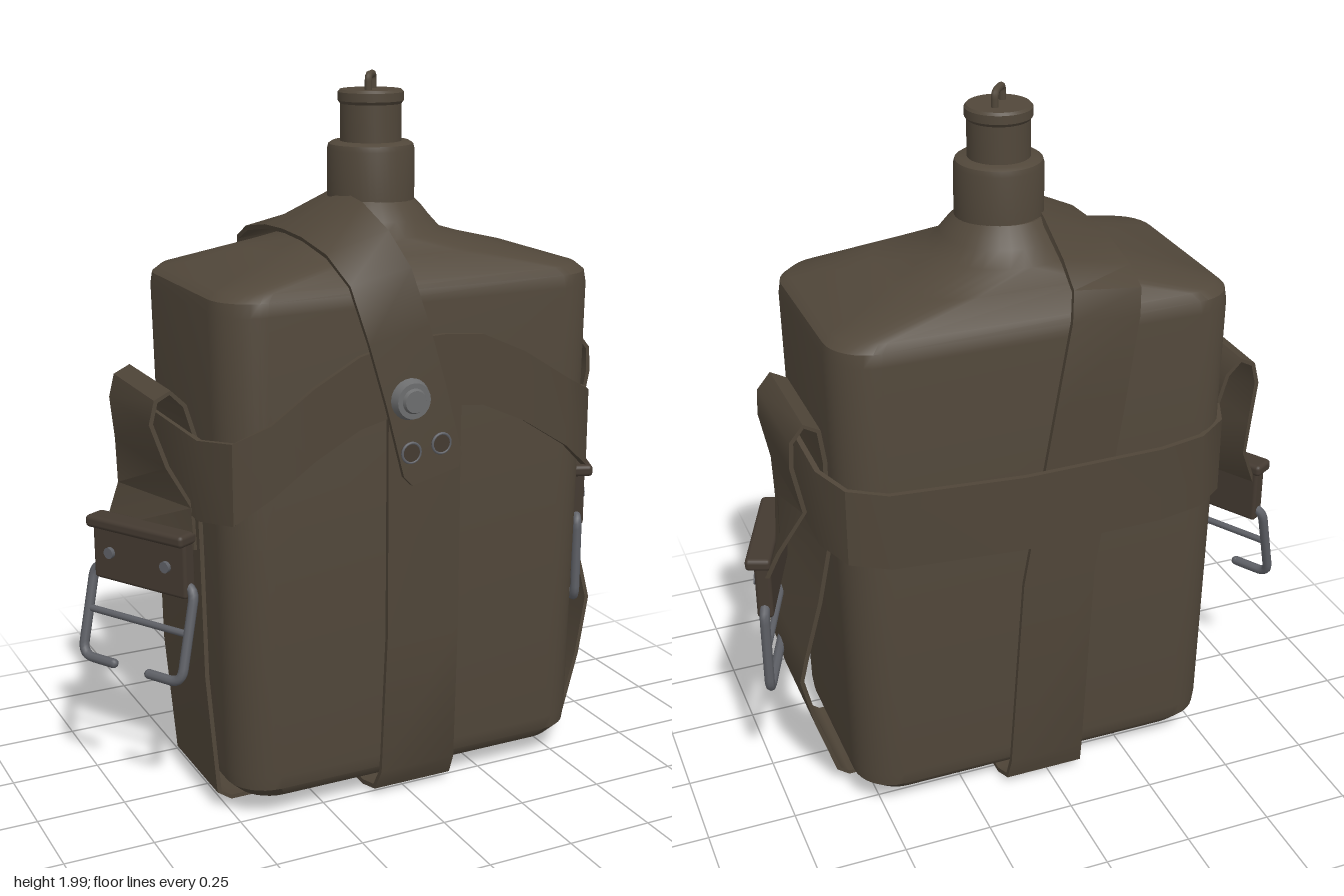
import * as THREE from 'three';
import { mergeGeometries, toCreasedNormals } from 'three/addons/utils/BufferGeometryUtils.js';
import { RoundedBoxGeometry } from 'three/addons/geometries/RoundedBoxGeometry.js';

const V = (x, y, z) => new THREE.Vector3(x, y, z);

const material = (name, color) => {
  const m = new THREE.MeshStandardMaterial({ color });
  m.name = name;
  return m;
};

function mesh(parent, name, geometry, mat, x = 0, y = 0, z = 0) {
  const m = new THREE.Mesh(geometry, mat);
  m.name = name;
  m.position.set(x, y, z);
  parent.add(m);
  return m;
}

// Skin over rings of points (counter-clockwise around the travel direction).
function loft(rings, crease, closed = false) {
  const n = rings[0].length, pos = [], index = [];
  rings.flat().forEach(p => pos.push(p.x, p.y, p.z));
  const spans = closed ? rings.length : rings.length - 1;
  for (let i = 0; i < spans; i++) {
    const k = ((i + 1) % rings.length) * n;
    for (let j = 0; j < n; j++) {
      const a = i * n + j, b = i * n + (j + 1) % n;
      const c = k + (j + 1) % n, d = k + j;
      index.push(a, b, c, a, c, d);
    }
  }
  if (!closed) {
    const e = (rings.length - 1) * n;
    for (let j = 1; j < n - 1; j++) index.push(0, j + 1, j, e, e + j, e + j + 1);
  }
  const g = new THREE.BufferGeometry();
  g.setAttribute('position', new THREE.Float32BufferAttribute(pos, 3));
  g.setIndex(index);
  return toCreasedNormals(g, crease);
}

// Horizontal rounded rectangle.
function section(y, hx, hz, r, cx, cz) {
  const ring = [], steps = 8;
  [[1, -1], [-1, -1], [-1, 1], [1, 1]].forEach(([sx, sz], q) => {
    for (let i = 0; i <= steps; i++) {
      const a = (q + i / steps) * Math.PI / 2;
      ring.push(V(cx + sx * (hx - r) + r * Math.cos(a), y, cz + sz * (hz - r) - r * Math.sin(a)));
    }
  });
  return ring;
}

// Flat band along centre points; sides[i] spans its width at each point.
function band(points, sides, thickness, closed = false) {
  const last = points.length - 1;
  const rings = points.map((p, i) => {
    const before = points[i > 0 ? i - 1 : closed ? last : 0];
    const after = points[i < last ? i + 1 : closed ? 0 : last];
    const s = sides[i].clone().multiplyScalar(0.5);
    const n = after.clone().sub(before).cross(s).setLength(thickness / 2);
    return [[1, 1], [-1, 1], [-1, -1], [1, -1]].map(([a, b]) =>
      p.clone().addScaledVector(s, a).addScaledVector(n, b));
  });
  return loft(rings, 0.7, closed);
}

// Round wire with bent corners.
function wire(points, radius, bend, closed = false) {
  const path = new THREE.CurvePath(), n = points.length;
  const toward = (a, b) => a.clone().add(b.clone().sub(a).setLength(bend));
  let from = closed ? toward(points[0], points[1]) : points[0];
  for (let i = 1; i < (closed ? n + 1 : n - 1); i++) {
    const p = points[i % n], start = toward(p, points[i - 1]), end = toward(p, points[(i + 1) % n]);
    path.add(new THREE.LineCurve3(from, start));
    path.add(new THREE.QuadraticBezierCurve3(start, p, end));
    from = end;
  }
  if (!closed) path.add(new THREE.LineCurve3(from, points[n - 1]));
  const parts = [new THREE.TubeGeometry(path, 90, radius, 8, closed)];
  if (!closed) for (const p of [points[0], points[n - 1]])
    parts.push(new THREE.SphereGeometry(radius, 8, 6).translate(p.x, p.y, p.z));
  return mergeGeometries(parts);
}

export function createModel() {
  const model = new THREE.Group();
  model.name = 'strappedFlask';
  const olive = material('olive brown', 0x51473a);
  const webbing = material('webbing brown', 0x4f4538);
  const clampBrown = material('dark clamp brown', 0x443a31);
  const steel = material('steel grey', 0x5e6066);
  const snapGrey = material('snap grey', 0x6c6d6e);

  // Flask body with sloping shoulders: y, half x, half z, corner radius
  const profile = [
    [0.05, 0.46, 0.25, 0.08], [0.065, 0.5, 0.285, 0.1], [0.1, 0.535, 0.315, 0.115], [0.14, 0.54, 0.32, 0.12],
    [0.8, 0.552, 0.325, 0.12], [1.42, 0.562, 0.325, 0.12], [1.455, 0.558, 0.32, 0.12], [1.475, 0.535, 0.305, 0.115],
    [1.53, 0.33, 0.245, 0.17], [1.57, 0.2, 0.195, 0.19], [1.61, 0.165, 0.165, 0.165],
    [1.635, 0.145, 0.145, 0.145], [1.66, 0.12, 0.12, 0.12],
  ];
  mesh(model, 'flaskBody', loft(profile.map(([y, hx, hz, r]) =>
    section(y, hx, hz, r - 0.001, 0.028, -0.025)), 0.6), olive);

  // Neck collar, stopper and its wire loop
  const turned = pts => toCreasedNormals(
    new THREE.LatheGeometry(pts.map(([r, y]) => new THREE.Vector2(r, y)), 40), 0.6);
  mesh(model, 'neckCollar', turned([[0.12, 1.63], [0.12, 1.79], [0.116, 1.805], [0.105, 1.812], [0, 1.812]]),
    olive, 0.033, 0, -0.022);
  mesh(model, 'stopper', turned([[0.084, 1.81], [0.084, 1.912], [0.09, 1.92], [0.09, 1.943], [0.084, 1.95], [0, 1.95]]),
    olive, 0.033, 0, -0.022);
  const loop = mesh(model, 'stopperLoop', wire([V(-0.036, 1.93, 0), V(-0.036, 1.99, 0), V(0.036, 1.99, 0),
    V(0.036, 1.93, 0)], 0.01, 0.018), olive, 0.033, 0, -0.022);
  loop.rotation.y = 0.93;

  // Long strap: down the front, under, up the back, over the shoulder to the flap
  // Each row: centre x, y, z, width vector x, y
  const long = [
    [0.03, 1.22, 0.306, 0.22, 0], [0.03, 0.5, 0.306, 0.22, 0], [0.02, 0.09, 0.3, 0.23, 0], [0.02, 0.03, 0.27, 0.24, 0],
    [0.02, 0.012, 0.2, 0.24, 0], [0.02, 0.012, -0.28, 0.24, 0], [0.02, 0.035, -0.34, 0.23, 0],
    [0.02, 0.1, -0.357, 0.22, 0], [-0.01, 0.7, -0.36, 0.21, 0], [-0.09, 1.2, -0.36, 0.2, 0],
    [-0.13, 1.46, -0.36, 0.19, 0.01], [-0.14, 1.53, -0.34, 0.19, 0.02], [-0.14, 1.575, -0.27, 0.19, 0.04],
    [-0.145, 1.62, -0.12, 0.19, 0.08], [-0.15, 1.63, 0, 0.18, 0.09], [-0.15, 1.62, 0.12, 0.18, 0.08],
    [-0.14, 1.578, 0.25, 0.18, 0.05], [-0.11, 1.5, 0.32, 0.175, 0.035], [-0.065, 1.35, 0.338, 0.175, 0.04],
    [-0.02, 1.18, 0.352, 0.175, 0.042], [0.025, 0.99, 0.362, 0.175, 0.042], [0.032, 0.96, 0.363, 0.14, 0.034],
  ];
  mesh(model, 'longStrap', band(long.map(p => V(p[0], p[1], p[2])), long.map(p => V(p[3], p[4], 0)), 0.014), webbing);

  // Belt strap arched across the front
  const belt = [
    [0.08, 1.237, 0.319], [0.2, 1.225, 0.319], [0.33, 1.165, 0.319], [0.47, 1.075, 0.318], [0.56, 1.01, 0.283],
    [0.617, 0.99, 0.18], [0.617, 0.98, -0.22], [0.57, 0.965, -0.32], [0.47, 0.955, -0.365], [0.1, 0.945, -0.388],
    [-0.3, 0.945, -0.38], [-0.43, 0.95, -0.36], [-0.51, 0.96, -0.31], [-0.557, 0.97, -0.2], [-0.557, 0.97, 0.16],
    [-0.51, 0.985, 0.28], [-0.42, 1.045, 0.317], [-0.3, 1.13, 0.319], [-0.17, 1.2, 0.319], [-0.04, 1.232, 0.319],
  ].map(p => V(...p));
  mesh(model, 'beltStrap', band(belt, belt.map(p => V(0, p.z > 0.3 ? 0.195 : 0.222, 0)), 0.015, true), webbing);

  // Side strap: buckle to buckle under the flask, looped around the belt on both sides
  // Each row: centre x, y, z, width vector x, z
  const side = [
    [0.705, 0.78, -0.045, -0.12, 0.3], [0.695, 0.86, -0.055, -0.08, 0.32], [0.66, 0.98, -0.065, 0, 0.33],
    [0.688, 1.12, -0.065, 0, 0.33], [0.684, 1.19, -0.065, 0, 0.33], [0.65, 1.232, -0.065, 0, 0.33],
    [0.61, 1.21, -0.065, 0, 0.33], [0.598, 1.12, -0.065, 0, 0.33], [0.597, 0.86, -0.06, 0, 0.33],
    [0.63, 0.68, -0.05, 0, 0.33], [0.675, 0.5, -0.04, 0, 0.33], [0.69, 0.42, -0.03, 0, 0.33],
    [0.65, 0.25, -0.01, 0, 0.32], [0.59, 0.06, 0, 0, 0.32], [0.56, 0.037, 0, 0, 0.32],
    [-0.49, 0.037, 0, 0, 0.32], [-0.525, 0.06, 0, 0, 0.32], [-0.543, 0.4, -0.03, 0, 0.33],
    [-0.537, 0.75, -0.06, 0, 0.33], [-0.54, 1.06, -0.07, 0, 0.33], [-0.57, 1.16, -0.07, 0, 0.33],
    [-0.61, 1.2, -0.07, 0, 0.33], [-0.65, 1.18, -0.07, 0, 0.33], [-0.665, 1.12, -0.07, 0, 0.33],
    [-0.64, 1.0, -0.065, 0.03, 0.33], [-0.61, 0.88, -0.05, 0.1, 0.31], [-0.635, 0.76, -0.035, 0.16, 0.28],
  ];
  mesh(model, 'sideStrap', band(side.map(p => V(p[0], p[1], p[2])), side.map(p => V(p[3], 0, p[4])), 0.012), webbing);

  // Snap button and flap rivets
  const disc = (name, r, depth, mat, x, y, z, sides = 24) =>
    mesh(model, name, new THREE.CylinderGeometry(r * 0.85, r, depth, sides).rotateX(Math.PI / 2), mat, x, y, z);
  disc('snapButton', 0.057, 0.024, snapGrey, -0.04, 1.178, 0.37);
  disc('snapCentre', 0.035, 0.01, snapGrey, -0.04, 1.178, 0.386);
  for (const [x, y] of [[-0.042, 1.035], [0.048, 1.05]]) {
    disc('flapRivet', 0.03, 0.01, clampBrown, x, y, 0.368);
    mesh(model, 'flapRivetRing', new THREE.TorusGeometry(0.027, 0.004, 6, 20), steel, x, y, 0.371);
  }

  // Side buckles: clamp plate with rivets and a wire frame
  function buckle(name, x, y, turn, tilt, open) {
    const group = new THREE.Group();
    group.name = name;
    group.position.set(x, y, -0.035);
    group.rotation.y = turn;
    model.add(group);
    mesh(group, 'clampPlate', new RoundedBoxGeometry(0.33, 0.17, 0.045, 2, 0.01), clampBrown);
    mesh(group, 'clampLip', new RoundedBoxGeometry(0.345, 0.035, 0.07, 2, 0.012), clampBrown, 0, 0.085, 0.01);
    for (const s of [-1, 1]) mesh(group, 'clampRivet',
      new THREE.CylinderGeometry(0.016, 0.016, 0.016, 14).rotateX(Math.PI / 2), steel, s * 0.1, 0.0, 0.026);
    const frame = new THREE.Group();
    frame.name = 'wireFrame';
    frame.position.y = -0.05;
    frame.rotation.x = tilt;
    group.add(frame);
    const w = 0.18, bottom = -0.265;
    const pts = open
      ? [V(0.065, bottom, 0), V(w, bottom, 0), V(w, 0, 0), V(-w, 0, 0), V(-w, bottom, 0), V(-0.065, bottom, 0)]
      : [V(w, bottom, 0), V(w, 0, 0), V(-w, 0, 0), V(-w, bottom, 0)];
    mesh(frame, 'frameWire', wire(pts, 0.014, 0.04, !open), steel);
    mesh(frame, 'crossBar', new THREE.CylinderGeometry(0.01, 0.01, 2 * w, 8).rotateZ(Math.PI / 2), steel, 0, -0.13, 0);
  }
  buckle('leftBuckle', 0.715, 0.735, 1.19, 0, false);
  buckle('rightBuckle', -0.655, 0.71, -1.05, -0.26, true);

  return model;
}
